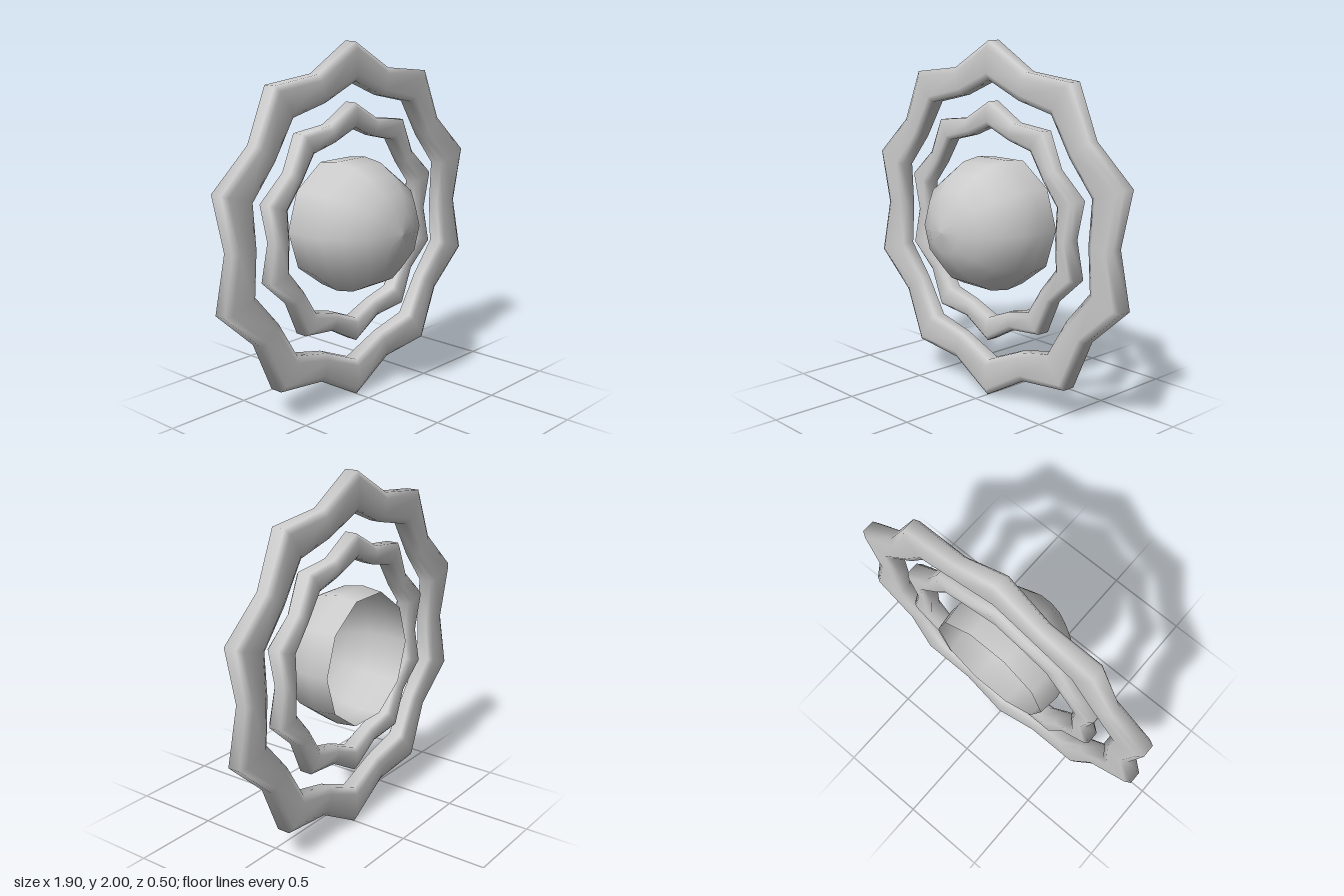
import * as THREE from 'three';

const material = new THREE.MeshStandardMaterial({ color: 0xcccccc });
const shellMaterial = new THREE.MeshStandardMaterial({ color: 0xcccccc, side: THREE.DoubleSide });
const CENTER_Y = 1, CENTER_Z = -0.13;

// Closed ten-pointed ring with a bevelled section; tip and valley give [inner radius, outer radius, half depth]
function starRing(name, tip, valley, bevelR, bevelZ) {
  const count = 20, sides = 8, positions = [], index = [];
  for (let i = 0; i < count; i++) {
    const angle = Math.PI / 2 + (i / count) * Math.PI * 2;
    const [r0, r1, h] = i % 2 ? valley : tip;
    const section = [
      [r1, -h + bevelZ], [r1, h - bevelZ], [r1 - bevelR, h], [r0 + bevelR, h],
      [r0, h - bevelZ], [r0, -h + bevelZ], [r0 + bevelR, -h], [r1 - bevelR, -h],
    ];
    for (const [r, z] of section) positions.push(r * Math.cos(angle), r * Math.sin(angle), z);
    const next = (i + 1) % count;
    for (let j = 0; j < sides; j++) {
      const k = (j + 1) % sides;
      const a = i * sides + j, b = next * sides + j, c = next * sides + k, d = i * sides + k;
      index.push(a, b, c, a, c, d);
    }
  }
  const geometry = new THREE.BufferGeometry();
  geometry.setAttribute('position', new THREE.Float32BufferAttribute(positions, 3));
  geometry.setIndex(index);
  geometry.computeVertexNormals();
  const mesh = new THREE.Mesh(geometry, material);
  mesh.name = name;
  mesh.position.set(0, CENTER_Y, CENTER_Z);
  return mesh;
}

// Hollow ten-sided dome, bulging to the front and open at the back
function dome() {
  const radius = 0.38;
  const profile = [new THREE.Vector2(0.366, -0.12)];
  for (let i = 5; i >= 0; i--) {
    const a = (i * Math.PI) / 10;
    profile.push(new THREE.Vector2(radius * Math.sin(a), radius * Math.cos(a)));
  }
  const geometry = new THREE.LatheGeometry(profile, 10, Math.PI / 2);
  geometry.rotateX(Math.PI / 2);
  const mesh = new THREE.Mesh(geometry, shellMaterial);
  mesh.name = 'dome';
  mesh.position.set(0, CENTER_Y, CENTER_Z);
  return mesh;
}

export function createModel() {
  const group = new THREE.Group();
  group.name = 'ringedDome';
  group.add(
    dome(),
    starRing('innerRing', [0.54, 0.675, 0.055], [0.5, 0.6, 0.05], 0.025, 0.02),
    starRing('outerRing', [0.79, 1, 0.057], [0.728, 0.888, 0.05], 0.035, 0.02),
  );
  return group;
}
